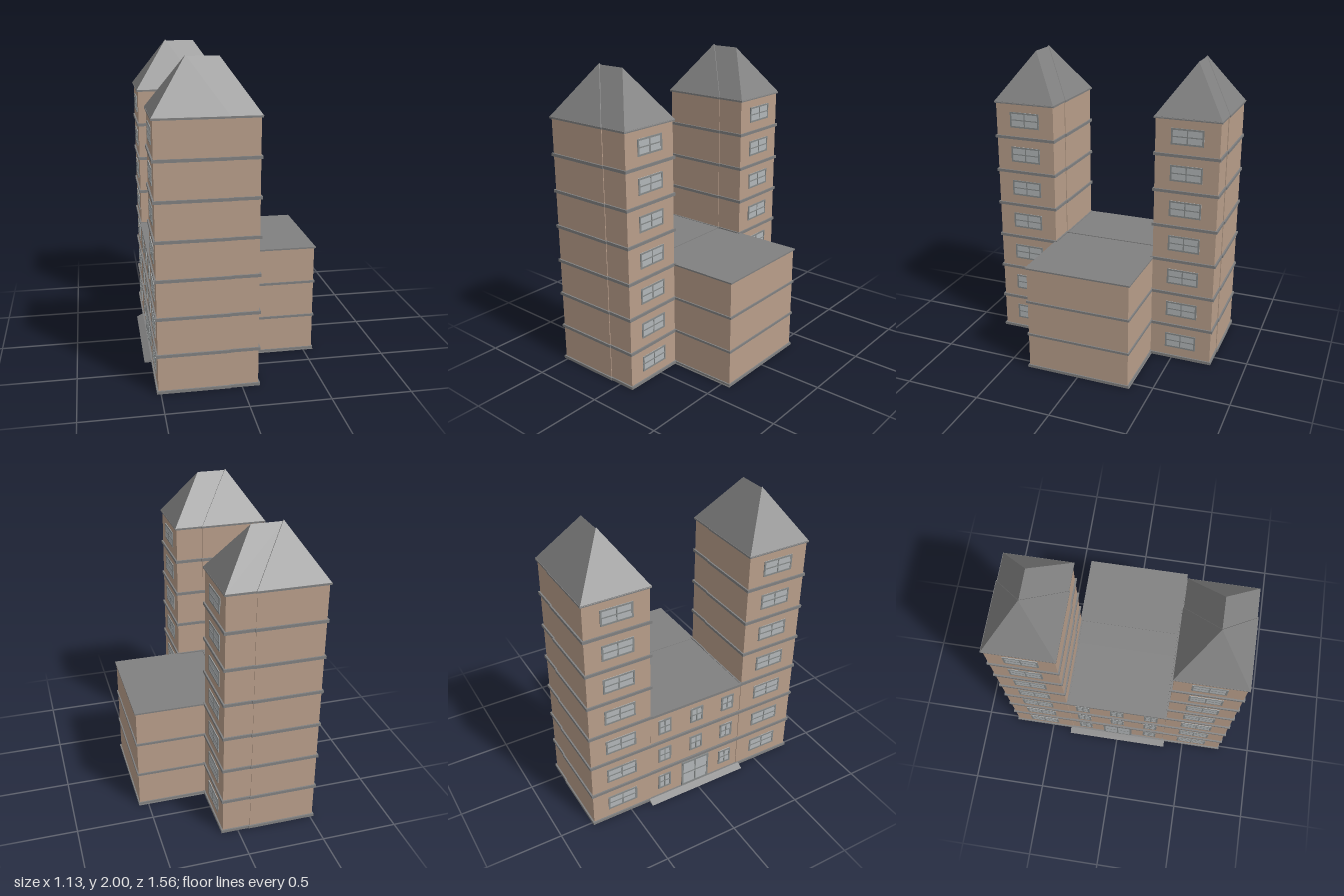
import * as THREE from 'three';
import { ConvexGeometry } from 'three/addons/geometries/ConvexGeometry.js';

const mat = (color) => new THREE.MeshStandardMaterial({ color });
const STOREY = 0.238;
const TOWER_Z = 0.5575;

export function createModel() {
  const model = new THREE.Group();
  const wall = mat(0xb89e8a), grey = mat(0x808080), frameGrey = mat(0x868a8a), glass = mat(0xb2b6b8);

  const add = (parent, name, geometry, material) => {
    const mesh = new THREE.Mesh(geometry, material);
    mesh.name = name;
    parent.add(mesh);
    return mesh;
  };
  const block = (parent, name, material, x0, x1, y0, y1, z0, z1) => {
    const mesh = add(parent, name, new THREE.BoxGeometry(x1 - x0, y1 - y0, z1 - z0), material);
    mesh.position.set((x0 + x1) / 2, (y0 + y1) / 2, (z0 + z1) / 2);
    return mesh;
  };

  // Tower footprint: a wide section and a slightly narrower one, grown by e
  const outline = (e) => {
    const a = 0.2125 + e, b = 0.2075 + e, x0 = -0.515 - e, xm = -0.082 + e, x1 = 0.1 + e;
    return [[x0, -a], [xm, -a], [xm, -b], [x1, -b], [x1, b], [xm, b], [xm, a], [x0, a]]
      .map(([x, y]) => new THREE.Vector2(x, y));
  };
  const footprint = (e, y0, y1, hollow = true) => {
    const shape = new THREE.Shape(outline(e));
    if (hollow) shape.holes.push(new THREE.Path(outline(-0.006)));
    return new THREE.ExtrudeGeometry(shape, { depth: y1 - y0, bevelEnabled: false })
      .rotateX(-Math.PI / 2).translate(0, y0, 0);
  };

  // Framed panes standing in a wall that faces along x
  const panes = (parent, name, x, y, z, w, h, bar = 0.011) => {
    const g = new THREE.Group();
    g.name = name;
    g.position.set(x, y, z);
    block(g, 'glass', glass, -0.009, 0.003, -h / 2, h / 2, -w / 2, w / 2);
    for (const s of [-1, 0, 1]) {
      const cy = s * (h - bar) / 2, cz = s * (w - bar) / 2;
      const t = s ? bar / 2 : bar / 3;
      block(g, 'rail', frameGrey, -0.011, 0.006, cy - t, cy + t, -w / 2, w / 2);
      block(g, 'stile', frameGrey, -0.011, 0.006, -h / 2, h / 2, cz - t, cz + t);
    }
    if (x < 0) g.rotation.y = Math.PI;
    parent.add(g);
  };

  const roofGeometry = (points) => new ConvexGeometry(points.map((p) => new THREE.Vector3(...p)));

  // Two hollow seven-storey towers
  for (const side of [1, -1]) {
    const tower = new THREE.Group();
    tower.name = side > 0 ? 'frontTower' : 'backTower';
    tower.position.z = side * TOWER_Z;
    model.add(tower);
    add(tower, 'towerWalls', footprint(0, 0.004, 1.674), wall);
    for (let i = 0; i < 7; i++) {
      const y = i * STOREY;
      add(tower, 'storeyBand', footprint(0.01, y + 0.002, y + 0.021), grey);
      for (const x of [0.1, -0.515]) panes(tower, 'towerWindow', x, y + 0.134, 0, 0.21, 0.105);
    }
    add(tower, 'eaves', footprint(0.01, 1.668, 1.68, false), grey);

    // Pyramid roof with a slightly lower hipped roof running into it
    add(tower, 'pyramidRoof', roofGeometry([
      [-0.526, 1.676, -0.2225], [-0.526, 1.676, 0.2225], [-0.074, 1.676, -0.2225],
      [-0.074, 1.676, 0.2225], [-0.3, 2, 0]]), grey);
    add(tower, 'hippedRoof', roofGeometry([
      [-0.3, 1.676, -0.2175], [-0.3, 1.676, 0.2175], [0.112, 1.676, -0.2175],
      [0.112, 1.676, 0.2175], [-0.3, 1.992, 0], [-0.105, 1.992, 0]]), grey);
  }

  // Low block between the towers and the wing behind it
  block(model, 'middleBlock', wall, -0.512, 0.1, 0.004, 0.722, -0.343, 0.343);
  block(model, 'wing', wall, 0.1, 0.557, 0.004, 0.722, -0.347, 0.347);
  for (let i = 0; i < 3; i++) {
    const y = i * STOREY;
    block(model, 'middleBand', grey, -0.525, -0.4, y + 0.002, y + 0.021, -0.34, 0.34);
    block(model, 'wingBand', grey, 0.09, 0.565, y + 0.004, y + 0.019, -0.355, 0.355);
  }

  // Flat roofs with small steps at the seams
  block(model, 'middleRoof', grey, -0.525, -0.075, 0.714, 0.732, -0.343, 0.343);
  block(model, 'linkRoof', grey, -0.095, 0.11, 0.714, 0.727, -0.343, 0.343);
  block(model, 'wingRoof', grey, 0.095, 0.565, 0.72, 0.73, -0.356, 0.356);

  // Entrance side: door, windows, ramp
  for (let i = 0; i < 3; i++) {
    for (const z of [-0.24, 0, 0.24]) {
      if (i === 0 && z === 0) continue;
      panes(model, 'smallWindow', -0.513, i * STOREY + 0.134, z, 0.095, 0.115, 0.012);
    }
  }
  panes(model, 'doubleDoor', -0.514, 0.122, 0, 0.21, 0.205, 0.013);

  const rampShape = new THREE.Shape();
  rampShape.moveTo(-0.568, 0);
  rampShape.lineTo(-0.5, 0);
  rampShape.lineTo(-0.5, 0.021);
  rampShape.lineTo(-0.525, 0.021);
  add(model, 'ramp', new THREE.ExtrudeGeometry(rampShape, { depth: 0.722, bevelEnabled: false })
    .translate(0, 0, -0.361), grey);
  block(model, 'groundSlab', grey, -0.54, 0.565, 0, 0.005, -0.36, 0.36);

  return model;
}
